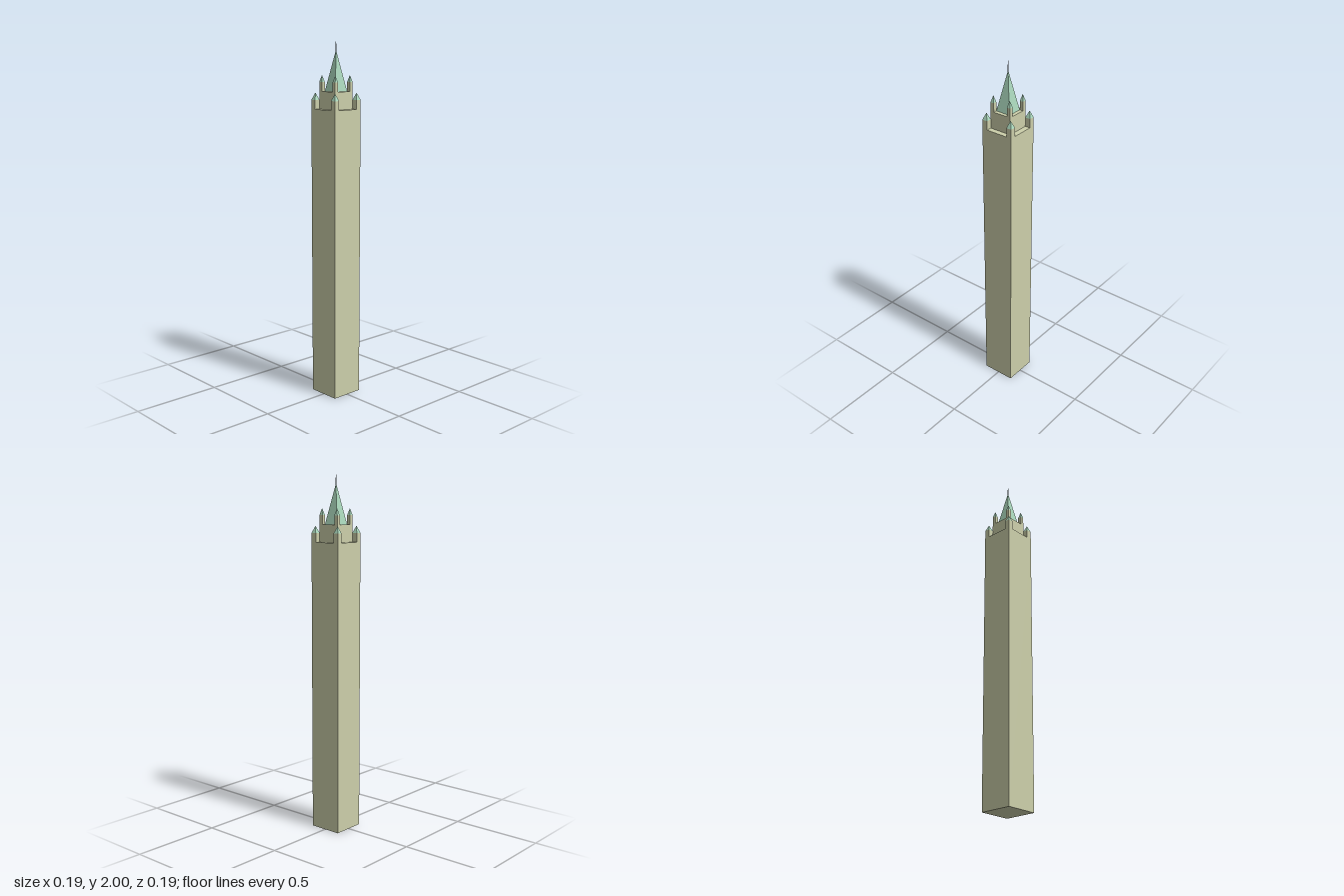
import * as THREE from 'three';

const stone = new THREE.MeshStandardMaterial({ color: 0xcccfaa, flatShading: true });
const copper = new THREE.MeshStandardMaterial({ color: 0xa8d5ba, flatShading: true });
const metal = new THREE.MeshStandardMaterial({ color: 0x8a9296, flatShading: true });

function add(parent, name, geometry, material, x, z) {
  const mesh = new THREE.Mesh(geometry, material);
  mesh.name = name;
  mesh.position.set(x, 0, z);
  parent.add(mesh);
}

// Square block standing between two heights
function block(width, bottom, top) {
  return new THREE.BoxGeometry(width, top - bottom, width).translate(0, (bottom + top) / 2, 0);
}

// Square pyramid with sides parallel to the axes
function pyramid(width, bottom, top) {
  return new THREE.ConeGeometry(width / Math.SQRT2, top - bottom, 4)
    .rotateY(Math.PI / 4)
    .translate(0, (bottom + top) / 2, 0);
}

// Four capped turrets set flush with the corners of a tier
function turrets(parent, name, tierWidth, width, bottom, shoulder, tip) {
  const d = (tierWidth - width) / 2;
  for (const sx of [-1, 1]) {
    for (const sz of [-1, 1]) {
      const turret = new THREE.Group();
      turret.name = name;
      add(turret, 'turretShaft', block(width, bottom, shoulder), stone, sx * d, sz * d);
      add(turret, 'turretCap', pyramid(width, shoulder, tip), copper, sx * d, sz * d);
      parent.add(turret);
    }
  }
}

export function createModel() {
  const tower = new THREE.Group();
  tower.name = 'tower';

  // Main shaft and upper tier
  add(tower, 'shaft', block(0.188, 0, 1.61), stone, 0, 0);
  add(tower, 'upperTier', block(0.127, 1.61, 1.705), stone, 0, 0);

  // Corner turrets
  turrets(tower, 'lowerTurret', 0.188, 0.031, 1.61, 1.66, 1.698);
  turrets(tower, 'upperTurret', 0.127, 0.021, 1.705, 1.755, 1.792);

  // Spire and needle mast
  add(tower, 'spire', pyramid(0.085, 1.705, 1.925), copper, 0, 0);
  add(tower, 'mast', pyramid(0.005, 1.9, 2), metal, 0, 0);

  return tower;
}
